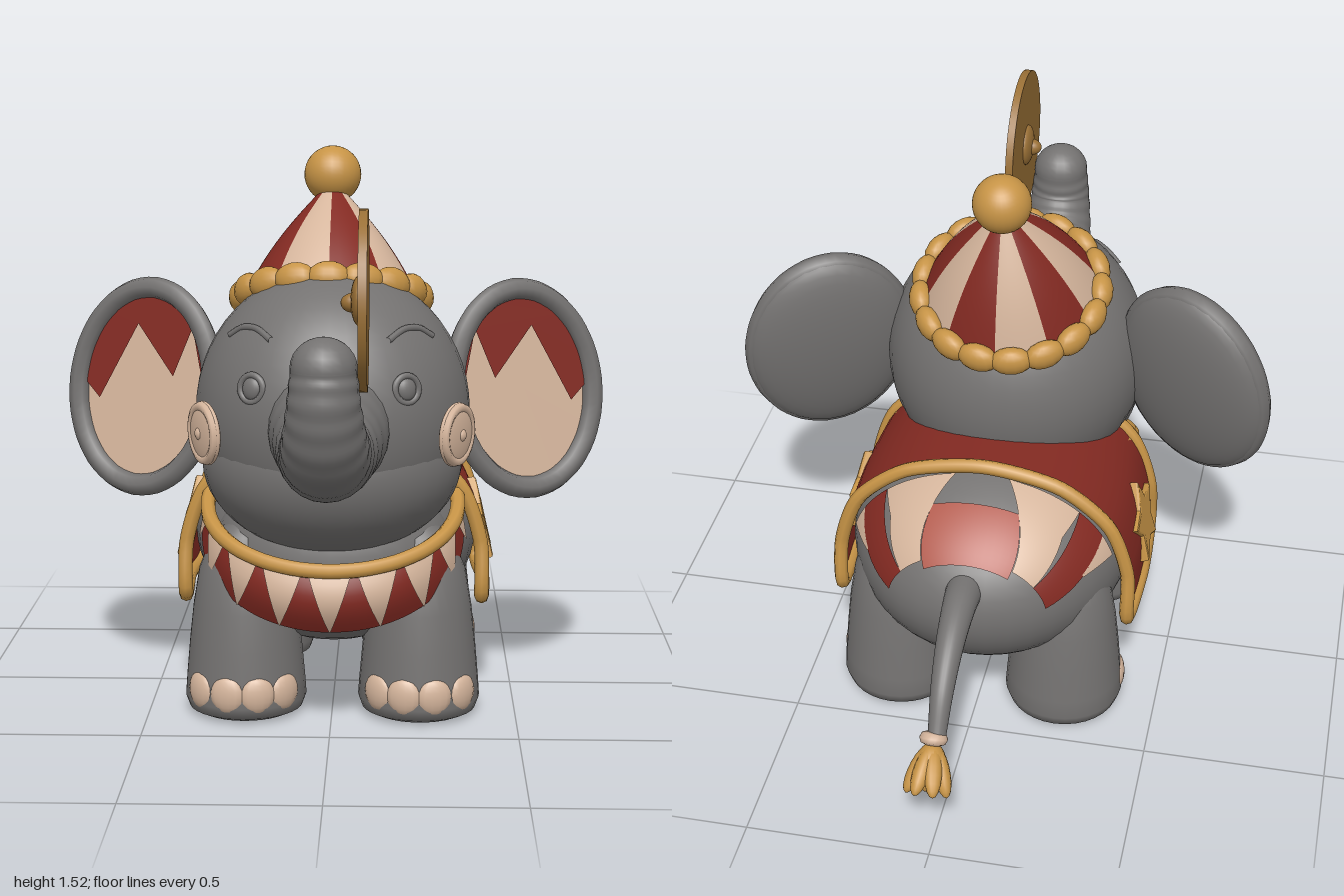
import * as THREE from 'three';
import { ParametricGeometry } from 'three/addons/geometries/ParametricGeometry.js';

const V = (x, y, z) => new THREE.Vector3(x, y, z);
const mat = (name, color, side = THREE.FrontSide) => {
  const m = new THREE.MeshStandardMaterial({ color, side });
  m.name = name;
  return m;
};

export function createModel() {
  const root = new THREE.Group();
  root.name = 'circusElephant';
  const grey = mat('greySkin', 0x747271);
  const red = mat('redCloth', 0x832a22, THREE.DoubleSide);
  const cream = mat('cream', 0xd6b69d, THREE.DoubleSide);
  const gold = mat('gold', 0xc79446);
  const bronze = mat('bronze', 0x9a7036);
  const pink = mat('dustyPink', 0xb25a4c, THREE.DoubleSide);

  const add = (name, geo, m, parent = root, pos = [0, 0, 0]) => {
    const mesh = new THREE.Mesh(geo, m);
    mesh.name = name;
    mesh.position.set(...pos);
    parent.add(mesh);
    return mesh;
  };
  const group = (name, pos, parent = root) => {
    const g = new THREE.Group();
    g.name = name;
    g.position.set(...pos);
    parent.add(g);
    return g;
  };
  const ball = (name, m, pos, r, parent = root, seg = 20) =>
    add(name, new THREE.SphereGeometry(1, seg, Math.ceil(seg * 0.7)).scale(...r), m, parent, pos);
  // Curved sheet from a rule f(u, v) => [x, y, z]
  const sheet = (name, f, nu, nv, m, parent = root) =>
    add(name, new ParametricGeometry((u, v, t) => t.set(...f(u, v)), nu, nv), m, parent);
  // Tapered tube along a curve lying in the x = 0 plane
  const sweep = (name, pts, radius, m, nv) => {
    const curve = new THREE.CatmullRomCurve3(pts);
    return sheet(name, (u, v) => {
      const c = curve.getPoint(v), t = curve.getTangent(v), a = u * Math.PI * 2, r = radius(v);
      const n = V(0, t.z, -t.y);
      return [r * Math.cos(a), c.y + n.y * r * Math.sin(a), c.z + n.z * r * Math.sin(a)];
    }, 24, nv, m);
  };
  const tube = (name, pts, r, m, closed = false, n = 80, parent = root) =>
    add(name, new THREE.TubeGeometry(new THREE.CatmullRomCurve3(pts, closed, 'catmullrom', 0.4), n, r, 8, closed), m, parent);

  // Body, chest, head and full jaw
  ball('body', grey, [0, 0.44, -0.1], [0.4, 0.31, 0.475], root, 40);
  ball('chest', grey, [0, 0.43, 0.16], [0.33, 0.25, 0.26], root, 28);
  ball('head', grey, [0, 0.83, 0.21], [0.37, 0.385, 0.375], root, 40);
  ball('jaw', grey, [0, 0.705, 0.255], [0.35, 0.255, 0.315], root, 40);
  const headZ = (x, y) => 0.21 + 0.375 * Math.sqrt(1 - (x / 0.37) ** 2 - ((y - 0.83) / 0.385) ** 2);

  // Legs with toenails
  const legProfile = [[0, 0], [0.13, 0.003], [0.155, 0.015], [0.166, 0.045], [0.162, 0.1], [0.153, 0.2],
    [0.142, 0.3], [0.125, 0.4], [0.085, 0.5], [0, 0.54]].map(p => new THREE.Vector2(...p));
  for (const s of [-1, 1]) {
    for (const [label, z, angles] of [['frontLeg', 0.25, [-0.8, -0.27, 0.27, 0.85]], ['rearLeg', -0.3, [0.1, 0.72, 1.35]]]) {
      const leg = group(label, [s * 0.237, 0, z]);
      add('legColumn', new THREE.LatheGeometry(legProfile, 32), grey, leg);
      for (const a of angles) {
        const nail = ball('toenail', cream, [s * Math.sin(a) * 0.15, 0.08, Math.cos(a) * 0.15], [0.049, 0.053, 0.024], leg, 14);
        nail.rotation.y = s * a;
      }
    }
  }

  // Trunk with faint wrinkles, curling up
  const tr = new THREE.CatmullRomCurve3([V(0.18, 0, 0), V(0.145, 0.18, 0), V(0.12, 0.4, 0), V(0.106, 0.65, 0), V(0.09, 0.85, 0), V(0.08, 1, 0)]);
  sweep('trunk', [V(0, 0.84, 0.45), V(0, 0.82, 0.6), V(0, 0.81, 0.73), V(0, 0.86, 0.845), V(0, 0.96, 0.898), V(0, 1.05, 0.9)],
    v => tr.getPoint(v).x + 0.0012 * Math.cos(v * 75), grey, 70);
  ball('trunkTip', grey, [0, 1.052, 0.9], [0.081, 0.075, 0.081]);

  // Cymbal held by the trunk, boss on its inner face
  add('cymbal', new THREE.CylinderGeometry(0.222, 0.222, 0.022, 48).rotateZ(Math.PI / 2), bronze, root, [0.092, 1.195, 0.757]);
  ball('cymbalBoss', bronze, [0.08, 1.195, 0.757], [0.045, 0.06, 0.06]).scale.x = 0.45;
  ball('cymbalGrip', bronze, [0.066, 1.19, 0.757], [0.03, 0.024, 0.024]);

  for (const s of [-1, 1]) {
    // Eyes and brows, barely raised
    const eye = group('eye', [s * 0.2, 0.935, headZ(0.2, 0.935)]);
    eye.lookAt(s * 0.55, 1.0, 1.1);
    ball('eyeball', grey, [0, 0, -0.005], [0.028, 0.031, 0.016], eye);
    add('eyelid', new THREE.TorusGeometry(0.035, 0.009, 8, 24), grey, eye, [0, 0, -0.003]);
    tube('brow', [[0.15, 1.055], [0.19, 1.078], [0.23, 1.075], [0.265, 1.052]].map(([x, y]) => V(s * x, y, headZ(x, y) - 0.003)), 0.009, grey, false, 16);

    // Swirled cheeks
    const cheek = group('cheek', [s * 0.328, 0.8, 0.41]);
    cheek.lookAt(s * 1.25, 0.78, 0.93);
    ball('cheekPad', cream, [0, 0, 0], [0.085, 0.085, 0.022], cheek, 24);
    for (const r of [0.071, 0.038]) add('cheekRing', new THREE.TorusGeometry(r, 0.013, 8, 28), cream, cheek, [0, 0, 0.006]);
    ball('cheekButton', cream, [0, 0, 0.015], [0.018, 0.018, 0.014], cheek, 12);

    // Ears: domed back, rolled rim, cream lining with a red zigzag
    const ear = group('ear', [s * 0.52, 0.867, 0.08]);
    ear.rotation.set(-0.16, s * 0.45, s * 0.13);
    add('earBack', new THREE.SphereGeometry(1, 32, 10, 0, Math.PI * 2, 0, Math.PI / 2).rotateX(-Math.PI / 2).scale(0.235, 0.295, 0.075), grey, ear);
    const rim = Array.from({ length: 20 }, (_, i) => V(0.215 * Math.cos(i * Math.PI / 10), 0.274 * Math.sin(i * Math.PI / 10), 0.008));
    tube('earRim', rim, 0.03, grey, true, 64, ear);
    add('earLining', new THREE.CircleGeometry(1, 40).scale(0.21, 0.268, 1), cream, ear, [0, 0, 0.008]);
    const zig = [];
    for (let i = 0; i <= 20; i++) {
      const a = i / 20 * 2.75;
      zig.push(new THREE.Vector2(s * 0.203 * Math.cos(a), 0.262 * Math.sin(a)));
    }
    for (const [x, y] of [[-0.18, 0.05], [-0.135, 0.18], [-0.09, 0.04], [0.04, 0.17], [0.14, -0.05]]) zig.push(new THREE.Vector2(s * x, y));
    add('earZigzag', new THREE.ShapeGeometry(new THREE.Shape(zig)), red, ear, [0, 0, 0.014]);
  }

  // Striped party hat, leaning back
  const hat = group('hat', [-0.008, 1.1, 0.07]);
  hat.rotation.x = -0.36;
  const N = 10;
  for (let i = 0; i < N; i++) {
    sheet('hatStripe', (u, v) => {
      const a = (i + u) / N * Math.PI * 2, r = 0.225 * (1 - v) + 0.022 + 0.02 * Math.sin(Math.PI * v);
      return [r * Math.sin(a), 0.33 * v, r * Math.cos(a)];
    }, 5, 12, i % 2 ? cream : red, hat);
  }
  for (let i = 0; i < 17; i++) {
    const a = i / 17 * Math.PI * 2;
    const bead = ball('hatBead', gold, [0.248 * Math.sin(a), 0.012, 0.248 * Math.cos(a)], [0.058, 0.043, 0.034], hat, 14);
    bead.rotation.y = a;
  }
  ball('pompom', gold, [0, 0.367, 0], [0.079, 0.079, 0.079], hat, 28);

  // Collar and bib with cream pennants
  const bib = (a, v, k) => {
    const c = Math.cos(a), len = 0.17 - 0.036 * a * a;
    return [0.338 * Math.sin(a) * (1 + 0.06 * v) * k, 0.57 - 0.122 * c - len * v,
      0.2 + (0.285 * c * (1 - 0.06 * v) + 0.03 * Math.sin(Math.PI * v) * c) * k];
  };
  tube('collar', Array.from({ length: 24 }, (_, i) => V(...bib(i / 12 * Math.PI, 0, 1.01))), 0.021, gold, true);
  sheet('bib', (u, v) => bib((u - 0.5) * 3.2, 1 - v, 1), 48, 8, red);
  for (let i = -4; i <= 4; i++) {
    sheet('pennant', (u, v) => bib(i * 0.375 + (u - 0.5) * 0.33 * (0.03 + 0.97 * v), 0.95 * (1 - v) + 0.04, 1.022), 6, 6, cream);
  }

  // Blanket draped over the back, with gold trim and stars
  const half = [[0.41, 0.295], [0.406, 0.45], [0.35, 0.605], [0.21, 0.717]];
  const section = [...half.map(([x, y]) => [-x, y]), [0, 0.757], ...[...half].reverse()];
  const drape = new THREE.CatmullRomCurve3(section.map(([x, y]) => V(x, y, 0)));
  sheet('blanket', (u, v) => {
    const p = drape.getPoint(u);
    return [p.x * (1 + 0.03 * Math.sin(Math.PI * v)), p.y, 0.15 - 0.44 * v];
  }, 40, 10, red);
  tube('blanketTrim', [...section.map(([x, y]) => V(x, y, -0.288)), V(0.421, 0.292, -0.07),
    ...[...section].reverse().map(([x, y]) => V(x, y, 0.15)), V(-0.421, 0.292, -0.07)], 0.02, gold, true, 160);
  const star = new THREE.Shape(Array.from({ length: 10 }, (_, i) => {
    const a = i * Math.PI / 5, r = i % 2 ? 0.058 : 0.115;
    return new THREE.Vector2(r * Math.sin(a), r * Math.cos(a));
  }));
  const starGeo = new THREE.ExtrudeGeometry(star, { depth: 0.018, bevelEnabled: true, bevelSize: 0.006, bevelThickness: 0.008, bevelSegments: 2 });
  for (const s of [-1, 1]) {
    const g = group('star', [s * 0.4, 0.465, -0.05]);
    g.rotation.z = s * 0.23;
    add('starPlate', starGeo, gold, g).rotation.y = s * Math.PI / 2;
  }

  // Painted stripes on the rump: start angles, end angles, start z, end z
  const rump = (name, m, [a0, a1], [b0, b1], z0, z1) => sheet(name, (u, v) => {
    const z = z0 + (z1 - z0) * v, k = 1.018 * Math.sqrt(1 - ((z + 0.1) / 0.475) ** 2);
    const l = a0 + (b0 - a0) * v, r = a1 + (b1 - a1) * v, t = l + (r - l) * u;
    return [0.4 * k * Math.sin(t), 0.44 + 0.31 * k * Math.cos(t), z - 0.003];
  }, 12, 12, m);
  rump('rumpPinkPatch', pink, [-0.36, 0.36], [-0.62, 0.62], -0.375, -0.515);
  for (const s of [-1, 1]) {
    const m = (a, b) => s > 0 ? [a, b] : [-b, -a];
    rump('rumpCreamStripe', cream, m(0.2, 0.8), m(0.36, 0.8), -0.285, -0.375);
    rump('rumpCreamStripeEnd', cream, m(0.36, 0.8), m(0.6, 0.98), -0.375, -0.5);
    rump('rumpRedStripe', red, m(0.8, 1.1), m(0.98, 1.4), -0.285, -0.5);
    rump('rumpOuterStripe', cream, m(1.1, 1.32), m(1.24, 1.27), -0.285, -0.4);
  }

  // Tail with cream band and gold tuft
  sweep('tail', [V(0, 0.52, -0.5), V(0, 0.52, -0.6), V(0, 0.485, -0.71), V(0, 0.41, -0.81), V(0, 0.31, -0.88)], v => 0.052 - 0.028 * v, grey, 24);
  const tip = group('tailTip', [0.008, 0.305, -0.882]);
  tip.quaternion.setFromUnitVectors(V(0, -1, 0), V(0, -0.8, -0.6).normalize());
  add('tailBand', new THREE.TorusGeometry(0.02, 0.018, 8, 20).rotateX(Math.PI / 2), cream, tip);
  ball('tuftCore', gold, [0, -0.075, 0], [0.042, 0.065, 0.042], tip);
  for (let i = 0; i < 7; i++) {
    const lock = group('tuftLock', [0, 0, 0], tip);
    lock.rotation.y = i / 7 * Math.PI * 2;
    ball('lock', gold, [0, -0.083, 0.034], [0.024, 0.068, 0.022], lock, 12).rotation.x = -0.34;
  }
  return root;
}
